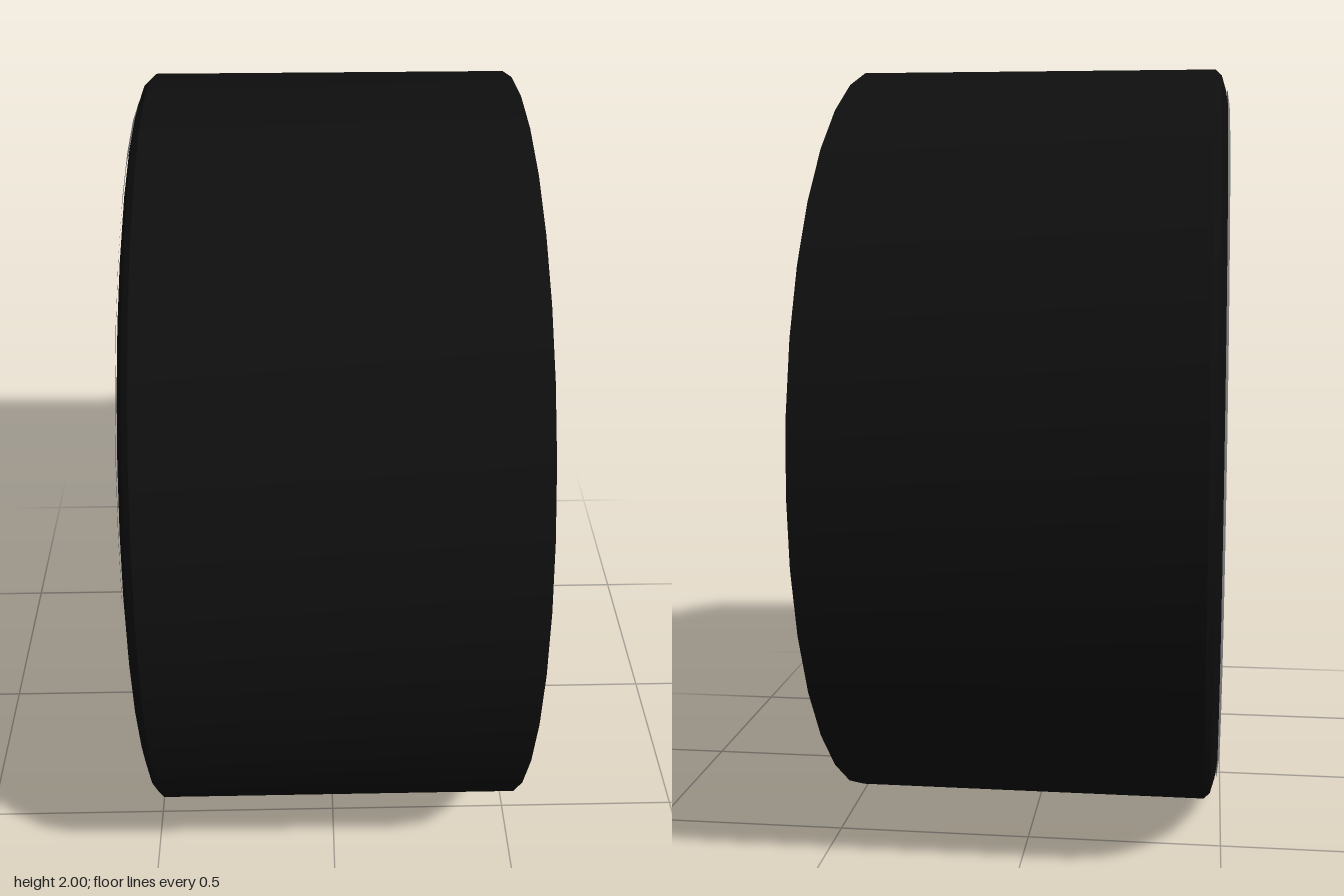
import * as THREE from 'three';
import { toCreasedNormals } from 'three/addons/utils/BufferGeometryUtils.js';

const rad = THREE.MathUtils.degToRad;
const material = (name, color, side = THREE.FrontSide) =>
  Object.assign(new THREE.MeshStandardMaterial({ color, side }), { name });

const rubber = material('black rubber', 0x0e0e0e, THREE.DoubleSide);
const stripeGrey = material('stripe grey', 0x858585, THREE.DoubleSide);
const alloy = material('silver alloy', 0xbababa);
const capGrey = material('cap grey', 0x787878);
const gold = material('caliper gold', 0x9a7420);

const SPOKES = 5;
const FIRST_SPOKE = 42;

export function createModel() {
  const model = new THREE.Group();
  model.name = 'wheel';

  // Built with the axle along +z (outer face forward), then turned to face -x
  const wheel = new THREE.Group();
  wheel.name = 'wheelAssembly';
  wheel.rotation.y = -Math.PI / 2;
  wheel.position.y = 1;
  model.add(wheel);

  const add = (name, geometry, mat) => {
    const mesh = new THREE.Mesh(geometry, mat);
    mesh.name = name;
    wheel.add(mesh);
    return mesh;
  };
  // Profile points are [radius, z]
  const lathe = (points, segments = 36, start = 0, length = 360) => {
    const profile = points.map(([r, z]) => new THREE.Vector2(r, z));
    const g = new THREE.LatheGeometry(profile, segments, rad(start), rad(length));
    return toCreasedNormals(g.rotateX(Math.PI / 2), 0.45);
  };
  const disc = (radius, z0, z1, segments = 36) =>
    lathe([[0, z0], [radius, z0], [radius, z1], [0, z1]], segments);

  // Tyre, closed at the back
  add('tyre', lathe([
    [0, -0.487], [0.9, -0.487], [1, -0.475], [1, 0.455],
    [0.985, 0.471], [0.945, 0.483], [0.9, 0.49], [0.82, 0.468], [0.82, 0.44],
  ]), rubber);

  // Sidewall stripe: a long arc and a short remnant
  add('sidewallStripe', lathe([[0.945, 0.487], [0.905, 0.493]], 27, 100, 270), stripeGrey);
  add('stripeRemnant', lathe([[0.945, 0.487], [0.93, 0.4895]], 1, 30, 10), stripeGrey);

  // Stepped rim and barrel
  add('rim', lathe([
    [0.825, 0.45], [0.82, 0.47], [0.79, 0.468], [0.77, 0.42], [0.735, 0.405],
    [0.725, 0.34], [0.7, 0.32], [0.69, -0.3],
  ], 72), alloy);
  add('barrelBack', disc(0.7, -0.34, -0.3), rubber);

  // Brake disc, its bell and the caliper
  add('brakeDisc', disc(0.61, 0.11, 0.16, 48), rubber);
  add('brakeBell', disc(0.24, 0.16, 0.2), rubber);
  const arc = new THREE.Shape();
  arc.absarc(0, 0, 0.56, rad(188), rad(228), false);
  arc.absarc(0, 0, 0.32, rad(228), rad(188), true);
  const caliper = new THREE.ExtrudeGeometry(arc, {
    depth: 0.07, bevelSize: 0.01, bevelThickness: 0.01, bevelSegments: 1, curveSegments: 8,
  });
  add('brakeCaliper', caliper, gold).position.z = 0.14;

  // Split spokes: two arms that spread from the hub and meet at the rim
  const outline = new THREE.Shape([
    [0.08, -0.055], [0.36, -0.135], [0.77, -0.045],
    [0.77, 0.045], [0.36, 0.135], [0.08, 0.055],
  ].map((p) => new THREE.Vector2(...p)));
  outline.holes.push(new THREE.Path(
    [[0.23, 0], [0.37, 0.08], [0.67, 0], [0.37, -0.08]].map((p) => new THREE.Vector2(...p))));
  const spoke = new THREE.ExtrudeGeometry(outline, {
    depth: 0.1, bevelSize: 0.012, bevelThickness: 0.015, bevelSegments: 1,
  });
  // Lean each spoke forward towards the rim
  const pos = spoke.attributes.position;
  for (let i = 0; i < pos.count; i++) {
    pos.setZ(i, pos.getZ(i) + 0.15 + 0.21 * pos.getX(i));
  }
  spoke.computeVertexNormals();

  const nut = disc(0.022, 0.2, 0.3, 6);
  for (let i = 0; i < SPOKES; i++) {
    const angle = FIRST_SPOKE + (i * 360) / SPOKES;
    add('spoke', spoke, alloy).rotation.z = rad(angle);
    const nutAngle = rad(angle + 180 / SPOKES);
    add('wheelNut', nut, alloy).position.set(0.16 * Math.cos(nutAngle), 0.16 * Math.sin(nutAngle), 0);
  }

  // Hub and centre cap
  add('hub', disc(0.19, 0.12, 0.25, 32), alloy);
  add('hubCollar', disc(0.12, 0.25, 0.305, 32), alloy);
  add('centreCap', lathe([[0.112, 0.3], [0.108, 0.313], [0, 0.316]], 32), capGrey);

  return model;
}
